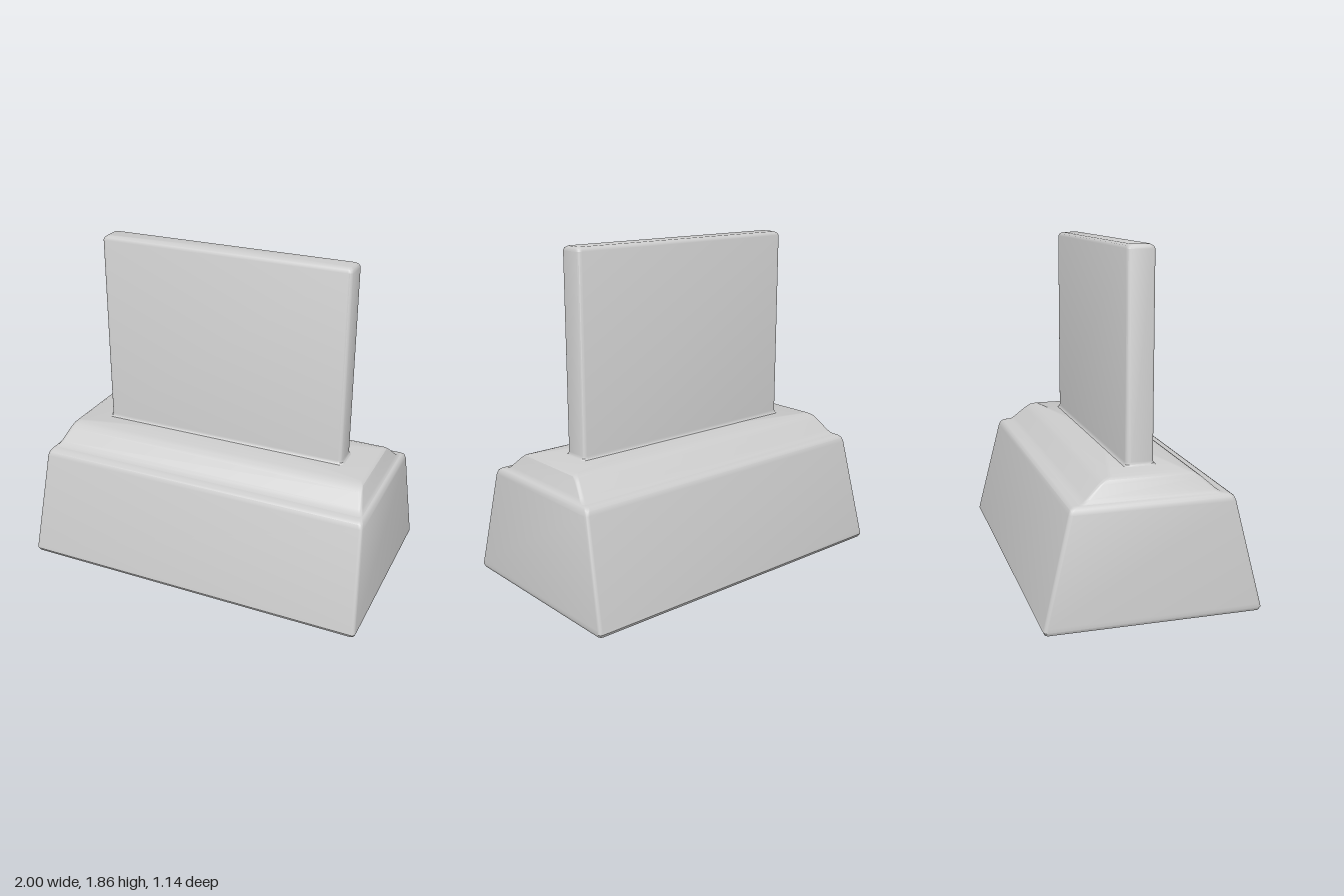
import * as THREE from 'three';
import { toCreasedNormals } from 'three/addons/utils/BufferGeometryUtils.js';

const CORNER_STEPS = 4;

// Outline of a rectangle with rounded corners, as [x, z] pairs
function ringPoints(hx, hz, r) {
  const pts = [];
  const signs = [[1, 1], [-1, 1], [-1, -1], [1, -1]];
  signs.forEach(([sx, sz], q) => {
    for (let i = 0; i <= CORNER_STEPS; i++) {
      const a = (q + i / CORNER_STEPS) * Math.PI / 2;
      pts.push([sx * (hx - r) + r * Math.cos(a), sz * (hz - r) + r * Math.sin(a)]);
    }
  });
  return pts;
}

// Skin a stack of rings [y, halfWidth, halfDepth, cornerRadius], optionally capped
function loft(name, rings, material, { bottom = false, top = false } = {}) {
  const positions = [];
  const index = [];
  const n = 4 * (CORNER_STEPS + 1);
  for (const [y, hx, hz, r] of rings) {
    for (const [x, z] of ringPoints(hx, hz, r)) positions.push(x, y, z);
  }
  for (let k = 0; k < rings.length - 1; k++) {
    for (let i = 0; i < n; i++) {
      const j = (i + 1) % n;
      const a = k * n + i, b = k * n + j, c = a + n, d = b + n;
      index.push(a, c, b, b, c, d);
    }
  }
  const cap = (k, up) => {
    const centre = positions.length / 3;
    positions.push(0, rings[k][0], 0);
    for (let i = 0; i < n; i++) {
      const a = k * n + i, b = k * n + (i + 1) % n;
      if (up) index.push(centre, b, a);
      else index.push(centre, a, b);
    }
  };
  if (bottom) cap(0, false);
  if (top) cap(rings.length - 1, true);

  const geometry = new THREE.BufferGeometry();
  geometry.setAttribute('position', new THREE.Float32BufferAttribute(positions, 3));
  geometry.setIndex(index);
  const mesh = new THREE.Mesh(toCreasedNormals(geometry, Math.PI / 5), material);
  mesh.name = name;
  return mesh;
}

export function createModel() {
  const group = new THREE.Group();
  group.name = 'slabOnPedestal';
  const material = new THREE.MeshStandardMaterial({ color: 0xcccccc });

  // Tapered base block with softened edges and a narrow ledge on top
  group.add(loft('base', [
    [0, 0.975, 0.545, 0.015],
    [0.008, 0.992, 0.562, 0.02],
    [0.025, 1.0, 0.57, 0.02],
    [0.045, 0.998, 0.566, 0.02],
    [0.595, 0.965, 0.432, 0.02],
    [0.618, 0.958, 0.423, 0.02],
    [0.63, 0.948, 0.405, 0.02],
    [0.634, 0.94, 0.375, 0.02],
  ], material, { bottom: true }));

  // Bevelled upper tier, sloping more gently at front and back than at the ends
  group.add(loft('upperTier', [
    [0.634, 0.94, 0.375, 0.02],
    [0.64, 0.934, 0.355, 0.02],
    [0.655, 0.926, 0.335, 0.02],
    [0.715, 0.903, 0.268, 0.02],
    [0.735, 0.894, 0.24, 0.02],
    [0.745, 0.875, 0.21, 0.02],
  ], material, { top: true }));

  // Upright slab with a small fillet at its foot and bevelled top edges
  group.add(loft('slab', [
    [0.744, 0.737, 0.086, 0.025],
    [0.752, 0.728, 0.078, 0.025],
    [0.765, 0.725, 0.075, 0.025],
    [1.832, 0.725, 0.075, 0.025],
    [1.846, 0.719, 0.067, 0.022],
    [1.855, 0.705, 0.05, 0.015],
  ], material, { top: true }));

  return group;
}
